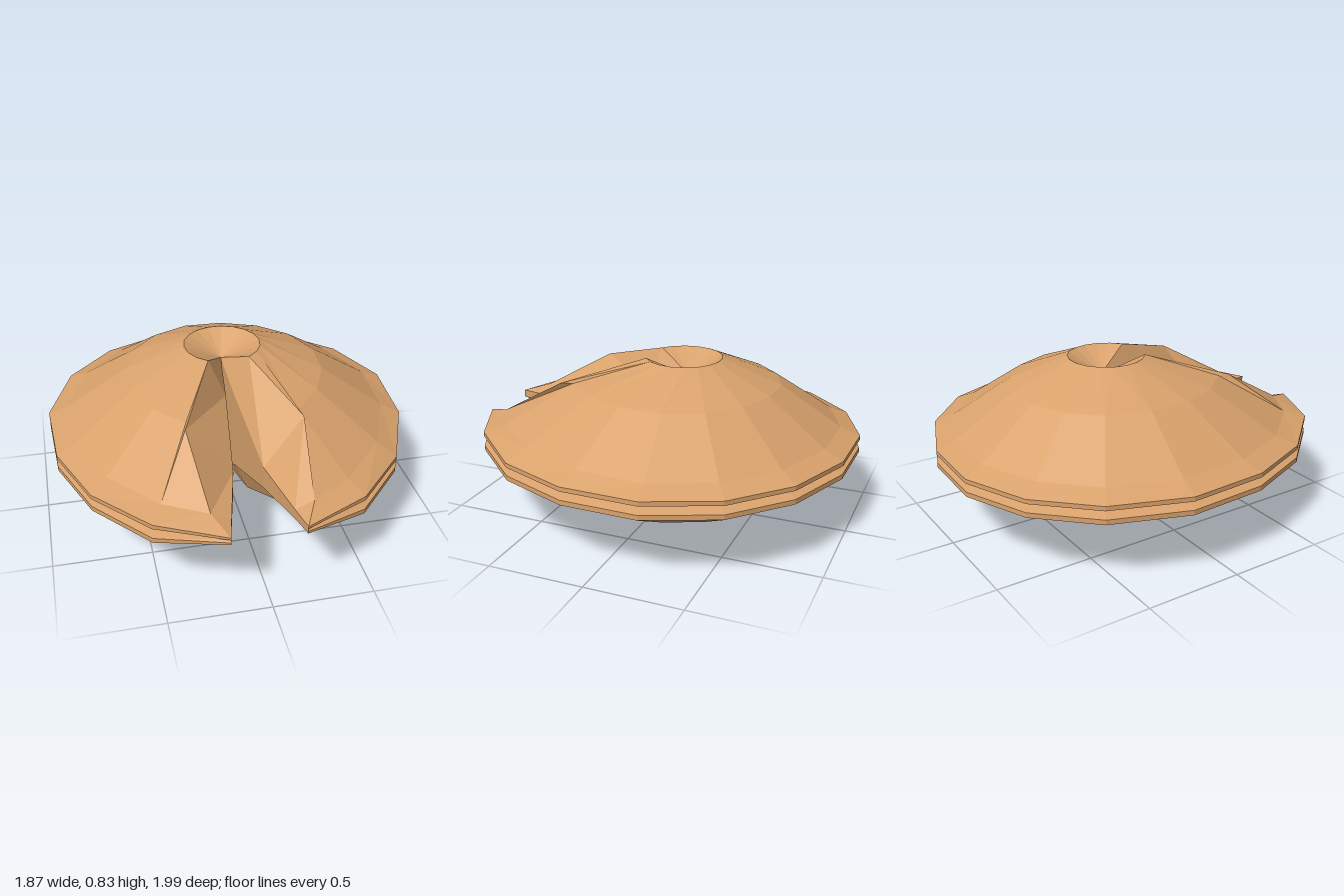
import * as THREE from 'three';

// Rim outline (x, z), from the left lip of the notch around the back to the right lip
const RIM = [
  [-0.2, 0.99], [-0.53, 0.84], [-0.78, 0.55], [-0.92, 0.19], [-0.94, -0.22], [-0.8, -0.6],
  [-0.55, -0.86], [-0.22, -1], [0.15, -0.99], [0.51, -0.85], [0.78, -0.6], [0.93, -0.25],
  [0.91, 0.15], [0.75, 0.53], [0.48, 0.83], [0.155, 0.985],
];
const CX = -0.015, CZ = -0.1;
const LAST = RIM.length - 1;
const TOP = [CX, 0.73, -0.13], BOTTOM = [CX, 0.1, -0.13];

// One radial cross-section, from the top dimple over the rim to the bottom dimple
function section(i) {
  const [rx, rz] = RIM[i];
  const at = (t, y) => [CX + (rx - CX) * t, y, CZ + (rz - CZ) * t];
  const angle = THREE.MathUtils.degToRad(32 + (296 * i) / LAST);
  const hub = (y) => [CX - 0.2 * Math.sin(angle), y, CZ + 0.2 * Math.cos(angle)];
  if (i === 0 || i === LAST) {
    // pinched section beside the notch
    const left = i === 0;
    const shoulder = (y) => [left ? -0.31 : 0.27, y, 0.475];
    const nearTip = (y) => [left ? -0.265 : 0.222, y, 0.85];
    return [TOP, hub(0.83), shoulder(0.7), nearTip(0.485), at(1, 0.447), at(1, 0.435),
      at(0.985, 0.427), at(1, 0.42), at(1, 0.408), nearTip(0.335), shoulder(0.13), hub(0), BOTTOM];
  }
  const sag = i === 13 ? 0.018 : i === 12 || i === 14 ? 0.008 : 0;
  const lift = i === 1 || i === 14 ? 0.01 : 0;
  return [TOP, hub(0.83), at(0.55, 0.7), at(0.89, 0.487), at(1, 0.447 + lift - sag),
    at(1, 0.424 + lift - sag), at(0.92, 0.402 - sag), at(1, 0.38 - sag), at(1, 0.355 - sag),
    at(0.89, 0.3), at(0.55, 0.13), hub(0), BOTTOM];
}

// Inner edge of the notch, matching a section point for point
function notchEdge(left) {
  const [tx, tz] = RIM[left ? 0 : LAST];
  const inner = (y) => [left ? -0.038 : 0.005, y, 0.11];
  const middle = (y) => [left ? -0.095 : 0.055, y, 0.55];
  const outer = (y) => [left ? -0.17 : 0.128, y, 0.86];
  const tip = (y) => [tx, y, tz];
  return [TOP, inner(0.64), middle(0.48), outer(0.45), tip(0.447), tip(0.435), tip(0.427),
    tip(0.42), tip(0.408), outer(0.4), middle(0.36), inner(0.2), BOTTOM];
}

// Flat-shaded mesh from a list of quads, skipping collapsed triangles
function quadMesh(name, quads, material) {
  const pos = [];
  const same = (p, q) => p.every((v, k) => Math.abs(v - q[k]) < 1e-6);
  const tri = (a, b, c) => {
    if (!same(a, b) && !same(b, c) && !same(a, c)) pos.push(...a, ...b, ...c);
  };
  for (const [a, b, c, d] of quads) {
    tri(a, b, c);
    tri(a, c, d);
  }
  const geometry = new THREE.BufferGeometry();
  geometry.setAttribute('position', new THREE.Float32BufferAttribute(pos, 3));
  geometry.computeVertexNormals();
  const mesh = new THREE.Mesh(geometry, material);
  mesh.name = name;
  return mesh;
}

// Quads between neighbouring sections for profile steps from..to
function strip(sections, from, to) {
  const quads = [];
  for (let i = 0; i < sections.length - 1; i++) {
    for (let j = from; j < to; j++) {
      const a = sections[i], b = sections[i + 1];
      quads.push([a[j], b[j], b[j + 1], a[j + 1]]);
    }
  }
  return quads;
}

// Upright face closing the notch between the upper and lower inner edges
function closing(edge, left) {
  const quads = [];
  const n = edge.length - 1;
  for (let j = 0; j < 6; j++) {
    const q = [edge[j], edge[j + 1], edge[n - j - 1], edge[n - j]];
    quads.push(left ? q : q.reverse());
  }
  return quads;
}

export function createModel() {
  const group = new THREE.Group();
  group.name = 'notchedDisc';
  const tan = new THREE.MeshStandardMaterial({ color: 0xd9a26c, flatShading: true, side: THREE.DoubleSide });
  tan.name = 'tan';

  const sections = RIM.map((_, i) => section(i));
  const leftEdge = notchEdge(true), rightEdge = notchEdge(false);

  // Shell halves with their lips, and the groove between them
  group.add(quadMesh('upperShell', strip(sections, 0, 5), tan));
  group.add(quadMesh('rimGroove', strip(sections, 5, 7), tan));
  group.add(quadMesh('lowerShell', strip(sections, 7, 12), tan));

  // Sloping notch sides
  group.add(quadMesh('leftNotchWall',
    [...strip([leftEdge, sections[0]], 0, 12), ...closing(leftEdge, true)].reverse(), tan));
  group.add(quadMesh('rightNotchWall',
    [...strip([sections[LAST], rightEdge], 0, 12), ...closing(rightEdge, false)], tan));
  return group;
}
